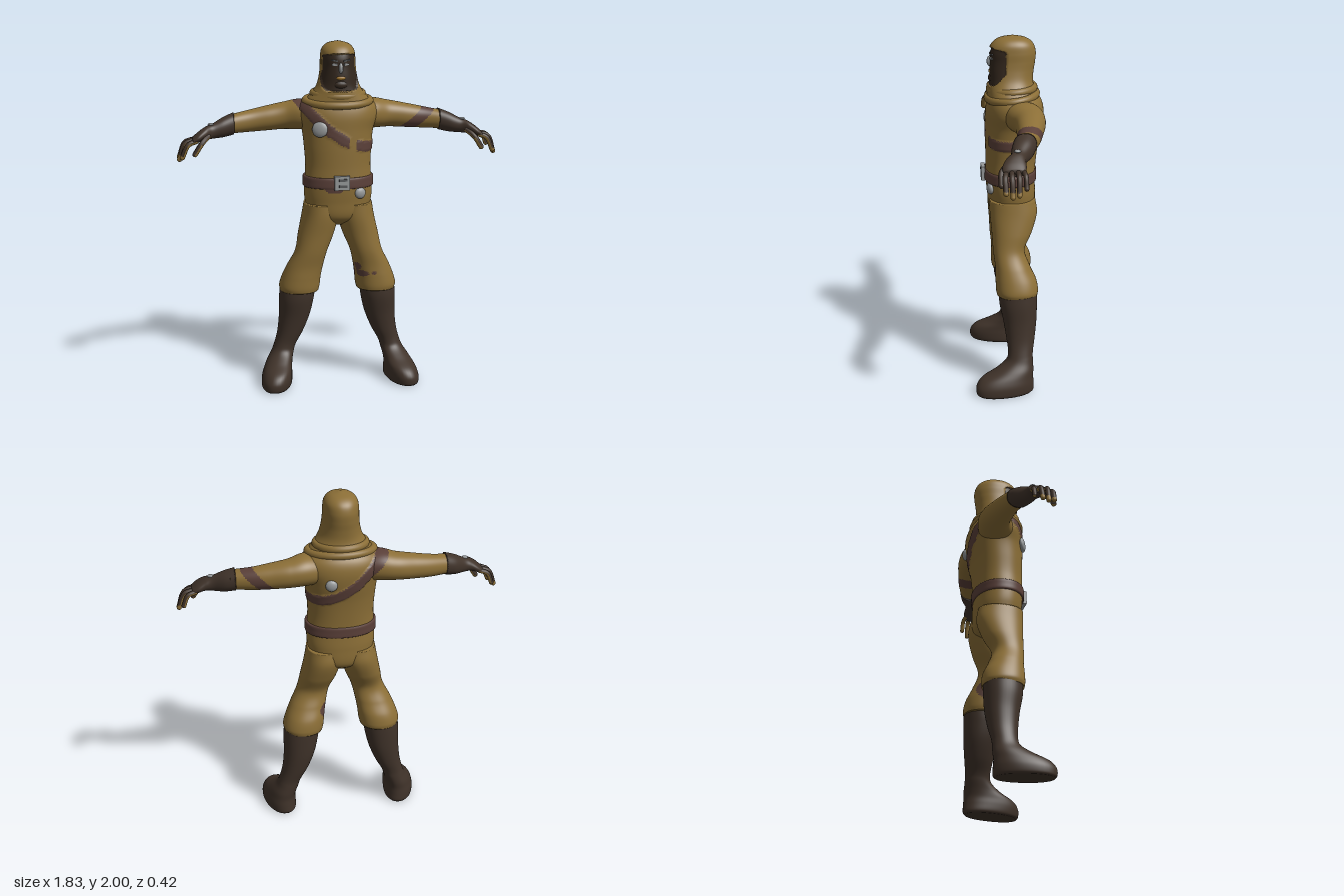
import * as THREE from 'three';

const mat = (name, color) => Object.assign(new THREE.MeshStandardMaterial({ color }), { name });

// Smooth skin over elliptical sections [x, y, z, r1, rz]; axis 'y' = level rings going up, 'x' = upright rings going outward
function loft(axis, sections, { rows = 40, sides = 40, shape } = {}) {
  const centre = new THREE.CatmullRomCurve3(sections.map(s => new THREE.Vector3(s[0], s[1], s[2])), false, 'catmullrom');
  const radius = new THREE.CatmullRomCurve3(sections.map(s => new THREE.Vector3(s[3], s[4], 0)), false, 'catmullrom');
  const round = v => Math.sign(v) * Math.abs(v) ** 0.92;
  const pos = [], index = [], p = new THREE.Vector3();
  for (let i = -1; i <= rows + 1; i++) {
    const t = Math.min(Math.max(i / rows, 0), 1);
    const c = centre.getPoint(t), r = radius.getPoint(t);
    const k = i < 0 || i > rows ? 0.001 : 1;
    for (let j = 0; j < sides; j++) {
      const a = j / sides * Math.PI * 2, u = k * r.x * round(Math.cos(a)), v = k * r.y * round(Math.sin(a));
      p.copy(c);
      p[axis === 'y' ? 'x' : 'y'] += u;
      p.z += v;
      if (shape) shape(p);
      pos.push(p.x, p.y, p.z);
    }
  }
  for (let i = 0; i < rows + 2; i++) for (let j = 0; j < sides; j++) {
    const a = i * sides + j, b = i * sides + (j + 1) % sides, c = a + sides, d = b + sides;
    if (axis === 'y') index.push(a, c, b, b, c, d);
    else index.push(a, b, c, b, d, c);
  }
  const g = new THREE.BufferGeometry();
  g.setAttribute('position', new THREE.Float32BufferAttribute(pos, 3));
  g.setIndex(index);
  g.computeVertexNormals();
  return g;
}

// Mirror a geometry to the other side, keeping faces outward
function mirror(g) {
  const m = g.clone().scale(-1, 1, 1), ix = m.index.array;
  for (let i = 0; i < ix.length; i += 3) [ix[i], ix[i + 1]] = [ix[i + 1], ix[i]];
  m.computeVertexNormals();
  return m;
}

// Sort triangles into material groups by their middle point and normal
function paint(g, count, pick) {
  const sets = Array.from({ length: count }, () => []), ix = g.index.array, P = g.attributes.position;
  const tri = new THREE.Triangle(), mid = new THREE.Vector3(), n = new THREE.Vector3();
  for (let i = 0; i < ix.length; i += 3) {
    tri.setFromAttributeAndIndices(P, ix[i], ix[i + 1], ix[i + 2]);
    sets[pick(tri.getMidpoint(mid), tri.getNormal(n))].push(ix[i], ix[i + 1], ix[i + 2]);
  }
  g.setIndex(sets.flat());
  let start = 0;
  sets.forEach((s, i) => { g.addGroup(start, s.length, i); start += s.length; });
  return g;
}

export function createModel() {
  const cloth = mat('ochre cloth', 0x8c6f37), leather = mat('dark leather', 0x40332a), strap = mat('strap brown', 0x5b4039);
  const steel = mat('steel', 0x96999a), shade = mat('face shadow brown', 0x33271d), gold = mat('mouth gold', 0x9a7028);
  const dark = mat('dark steel', 0x55585a);
  const root = new THREE.Group();
  const add = (name, geo, m, x = 0, y = 0, z = 0, parent = root) => {
    const mesh = new THREE.Mesh(geo, m);
    mesh.name = name;
    mesh.position.set(x, y, z);
    parent.add(mesh);
    return mesh;
  };

  // Diagonal strap running over the right shoulder and under the left arm
  const onStrap = p => {
    const f = 1.465 - 0.58 * p.x + 1.6 * p.x * p.x, slope = -0.58 + 3.2 * p.x;
    const gap = p.z > 0 && p.x > 0.045 && p.x < 0.09;
    return p.x > -0.27 && !gap && Math.abs(p.y - f) / Math.hypot(1, slope) < 0.03;
  };
  const torso = loft('y', [
    [0, 0.95, -0.03, 0.05, 0.06], [0, 1, -0.022, 0.16, 0.125], [0, 1.1, -0.018, 0.192, 0.137],
    [0, 1.2, -0.012, 0.193, 0.14], [0, 1.3, -0.016, 0.187, 0.143], [0, 1.4, -0.022, 0.193, 0.15],
    [0, 1.5, -0.033, 0.204, 0.16], [0, 1.58, -0.037, 0.228, 0.163], [0, 1.64, -0.037, 0.218, 0.15],
    [0, 1.69, -0.03, 0.165, 0.12], [0, 1.73, -0.02, 0.1, 0.09]
  ], { rows: 110, sides: 110, shape: p => { if (onStrap(p)) { p.x *= 1.025; p.z *= 1.03; } } });
  add('torso', paint(torso, 2, p => +(onStrap(p) ||
    (p.z > 0 && ((p.x + 0.04) / 0.05) ** 2 + ((p.y - 1.175) / 0.022) ** 2 < 1))), [cloth, strap]);

  // Hood with a recessed face opening
  const inFace = p => p.z > 0.015 && (Math.abs(p.x) / 0.105) ** 6 + (Math.abs(p.y - 1.832) / 0.102) ** 6 < 1;
  const hood = loft('y', [
    [0, 1.64, -0.025, 0.2, 0.145], [0, 1.68, -0.022, 0.175, 0.14], [0, 1.72, -0.014, 0.142, 0.132],
    [0, 1.76, -0.012, 0.119, 0.128], [0, 1.81, -0.014, 0.106, 0.13], [0, 1.86, -0.02, 0.1, 0.132],
    [0, 1.91, -0.023, 0.098, 0.132], [0, 1.955, -0.025, 0.09, 0.116], [0, 1.985, -0.025, 0.062, 0.078],
    [0, 2, -0.025, 0.012, 0.015]
  ], { rows: 90, sides: 96, shape: p => { if (inFace(p)) { p.x *= 0.94; p.z -= 0.1 * (p.z + 0.02); } } });
  add('hood', paint(hood, 2, p => +inFace(p)), [cloth, shade]);

  // Draped folds around the neck
  [[1.705, 0.142, 0.128, 0.05], [1.665, 0.182, 0.14, 0.1]].forEach(([y, rx, rz, tilt]) => {
    const fold = new THREE.TorusGeometry(1, 0.13, 12, 56).rotateX(Math.PI / 2).scale(rx, 0.17, rz);
    add('hoodFold', fold, cloth, 0, y, -0.022).rotation.x = tilt;
  });

  // Face details
  const nose = new THREE.SphereGeometry(1, 16, 12).scale(0.012, 0.03, 0.018);
  add('nose', nose, steel, 0, 1.858, 0.1);
  add('mouth', new THREE.SphereGeometry(1, 16, 10).scale(0.028, 0.013, 0.012), gold, 0, 1.803, 0.096);
  add('chin', new THREE.SphereGeometry(1, 16, 10).scale(0.04, 0.025, 0.02), shade, 0, 1.765, 0.09);
  for (const s of [1, -1]) {
    add('eye', new THREE.BoxGeometry(0.03, 0.012, 0.008), steel, s * 0.034, 1.878, 0.095).rotation.set(0, s * 0.3, 0);
    add('brow', new THREE.BoxGeometry(0.038, 0.008, 0.008), dark, s * 0.034, 1.9, 0.094).rotation.set(0, s * 0.3, s * 0.15);
  }

  // Belt, buckle and metal discs
  add('belt', loft('y', [
    [0, 1.178, -0.012, 0.19, 0.138], [0, 1.182, -0.012, 0.203, 0.148], [0, 1.21, -0.012, 0.203, 0.149],
    [0, 1.238, -0.013, 0.202, 0.148], [0, 1.242, -0.013, 0.19, 0.138]
  ], { rows: 12, sides: 56 }), strap);
  add('buckle', new THREE.BoxGeometry(0.086, 0.08, 0.022), steel, 0, 1.217, 0.143);
  for (const y of [1.199, 1.235]) add('buckleSlot', new THREE.BoxGeometry(0.046, 0.014, 0.004), dark, 0.005, y, 0.1545);
  const disc = (name, r, x, y, z) => add(name, new THREE.SphereGeometry(1, 24, 14).scale(r, r, 0.018), steel, x, y, z);
  disc('chestDisc', 0.045, -0.12, 1.52, 0.108).rotation.set(-0.1, -0.4, 0);
  disc('beltDisc', 0.033, 0.11, 1.15, 0.108).rotation.y = 0.3;
  disc('backDisc', 0.033, 0.08, 1.52, -0.19).rotation.y = -0.15;

  // Arm, glove, trouser leg and boot shapes for the left side
  const arm = loft('x', [
    [0.06, 1.57, -0.045, 0.07, 0.09], [0.2, 1.582, -0.075, 0.086, 0.105], [0.3, 1.574, -0.097, 0.077, 0.086],
    [0.4, 1.562, -0.09, 0.07, 0.073], [0.5, 1.55, -0.076, 0.062, 0.062], [0.62, 1.538, -0.042, 0.052, 0.055]
  ], { rows: 70, sides: 64 });
  const glove = loft('x', [
    [0.59, 1.542, -0.046, 0.062, 0.062], [0.65, 1.525, -0.028, 0.056, 0.058], [0.71, 1.508, -0.004, 0.042, 0.043],
    [0.75, 1.5, 0.015, 0.036, 0.052], [0.79, 1.482, 0.025, 0.028, 0.062], [0.825, 1.462, 0.027, 0.018, 0.056]
  ]);
  const leg = loft('y', [
    [0.226, 0.555, -0.037, 0.112, 0.116], [0.225, 0.585, -0.036, 0.118, 0.12], [0.214, 0.64, -0.03, 0.113, 0.115],
    [0.193, 0.71, -0.013, 0.104, 0.099], [0.16, 0.8, 0.006, 0.093, 0.09], [0.129, 0.9, -0.013, 0.103, 0.115],
    [0.105, 1, -0.024, 0.105, 0.134], [0.1, 1.08, -0.02, 0.096, 0.13]
  ], { rows: 80, sides: 64 });
  const boot = loft('y', [
    [0.365, 0, 0.042, 0.08, 0.155], [0.365, 0.015, 0.042, 0.089, 0.166], [0.365, 0.055, 0.042, 0.09, 0.165],
    [0.36, 0.095, 0.028, 0.083, 0.148], [0.348, 0.135, -0.012, 0.074, 0.11], [0.327, 0.18, -0.043, 0.065, 0.078],
    [0.31, 0.225, -0.05, 0.064, 0.071], [0.28, 0.3, -0.052, 0.075, 0.081], [0.255, 0.4, -0.05, 0.09, 0.095],
    [0.243, 0.5, -0.042, 0.101, 0.107], [0.236, 0.57, -0.04, 0.103, 0.109]
  ], { rows: 60, shape: p => { p.x += 0.15 * p.z * Math.max(0, 1 - p.y / 0.2); } });

  // Fingers and thumb: root, knuckle and tip points
  const digits = [
    [[0.8, 1.468, -0.018], [0.85, 1.452, -0.028], [0.875, 1.395, -0.03], 0.013],
    [[0.8, 1.468, 0.01], [0.865, 1.452, 0.006], [0.9, 1.37, 0.008], 0.014],
    [[0.8, 1.468, 0.04], [0.865, 1.45, 0.042], [0.9, 1.36, 0.04], 0.014],
    [[0.8, 1.465, 0.066], [0.85, 1.445, 0.076], [0.885, 1.375, 0.074], 0.014],
    [[0.735, 1.49, 0.045], [0.775, 1.455, 0.088], [0.815, 1.395, 0.092], 0.015]
  ].map(([a, b, c, r]) => {
    const path = new THREE.CatmullRomCurve3([a, b, c].map(q => new THREE.Vector3(...q)));
    const tip = new THREE.SphereGeometry(r, 12, 10).translate(...c);
    return [new THREE.TubeGeometry(path, 18, r, 12), tip];
  });

  // Worn patches around the left knee
  const onPatch = p => p.x > 0 && (
    (p.x < 0.15 && ((p.y - 0.675) / 0.05) ** 2 + ((p.z + 0.05) / 0.055) ** 2 < 1) ||
    (p.z > 0.02 && [[0.13, 0.66, 0.04, 0.018], [0.105, 0.7, 0.02, 0.025], [0.2, 0.665, 0.014, 0.012]]
      .some(([x, y, a, b]) => ((p.x - x) / a) ** 2 + ((p.y - y) / b) ** 2 < 1)));

  for (const s of [1, -1]) {
    const side = new THREE.Group();
    side.name = s > 0 ? 'leftLimbs' : 'rightLimbs';
    root.add(side);
    const own = g => (s > 0 ? g.clone() : mirror(g));
    const put = (name, g, m) => add(name, g, m, 0, 0, 0, side);
    put('arm', paint(own(arm), 2, p => +onStrap(p)), [cloth, strap]);
    put('glove', own(glove), leather);
    put('leg', paint(own(leg), 2, p => +onPatch(p)), [cloth, strap]);
    put('boot', own(boot), leather);
    const palmSide = (p, n) => +(-n.y - s * n.x * 0.6 > 0.25 || p.y < 1.385);
    digits.forEach(parts => parts.forEach(g => put('finger', paint(own(g), 2, palmSide), [leather, cloth])));
    add('wristStud', new THREE.SphereGeometry(1, 14, 8).scale(0.018, 0.008, 0.018), steel, s * 0.72, 1.547, 0.004, side);
  }
  return root;
}
